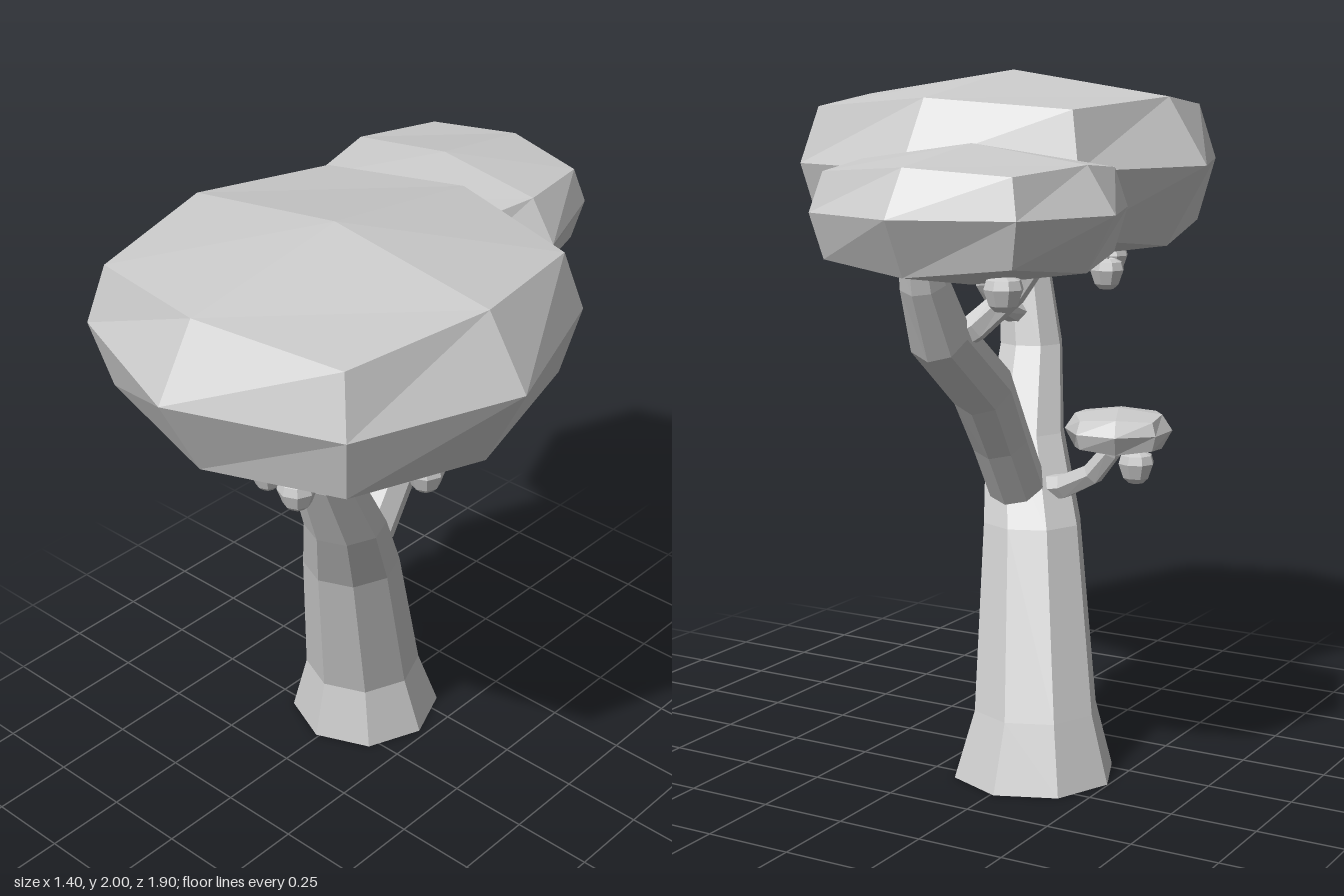
import * as THREE from 'three';

const material = new THREE.MeshStandardMaterial({ color: 0xcccccc, flatShading: true });

function part(name, geometry, parent) {
  const mesh = new THREE.Mesh(geometry, material);
  mesh.name = name;
  parent.add(mesh);
  return mesh;
}

// Faceted limb through [x, y, z, radius] points, capped at both ends.
// "level" keeps the rings horizontal; "ref" sets where the first side starts.
function limb(points, sides, { level = false, ref = new THREE.Vector3(1, 0, 0) } = {}) {
  const centers = points.map(p => new THREE.Vector3(p[0], p[1], p[2]));
  const last = points.length - 1;
  const rings = points.map((p, i) => [i, p[3]]);
  rings.unshift([0, 0]);
  rings.push([last, 0]);
  const positions = [], index = [];
  rings.forEach(([i, r], k) => {
    const t = level ? new THREE.Vector3(0, 1, 0)
      : centers[Math.min(i + 1, last)].clone().sub(centers[Math.max(i - 1, 0)]).normalize();
    const u = ref.clone().addScaledVector(t, -t.dot(ref)).normalize();
    const v = t.clone().cross(u);
    for (let j = 0; j < sides; j++) {
      const a = (j / sides) * Math.PI * 2;
      const p = centers[i].clone().addScaledVector(u, r * Math.cos(a)).addScaledVector(v, r * Math.sin(a));
      positions.push(p.x, p.y, p.z);
      if (k === 0) continue;
      const n = (j + 1) % sides, lo = (k - 1) * sides, hi = k * sides;
      index.push(lo + j, lo + n, hi + j, lo + n, hi + n, hi + j);
    }
  });
  const g = new THREE.BufferGeometry();
  g.setAttribute('position', new THREE.Float32BufferAttribute(positions, 3));
  g.setIndex(index);
  g.computeVertexNormals();
  return g;
}

// Flattened leaf cushion: a 2x2x2 divided box with its rings pulled round.
function canopyGeometry() {
  const g = new THREE.BoxGeometry(2, 2, 2, 2, 2, 2);
  const pos = g.attributes.position;
  for (let i = 0; i < pos.count; i++) {
    const x = Math.round(pos.getX(i)), y = Math.round(pos.getY(i)), z = Math.round(pos.getZ(i));
    const across = Math.abs(x) + Math.abs(z); // 0 pole, 1 side middle, 2 corner
    const spread = y === 0 ? [0, 0.635, 0.46][across] : [0, 0.513, 0.42][across];
    const height = y > 0 ? [0.27, 0.195, 0.165][across] : y < 0 ? [-0.31, -0.235, -0.19][across] : 0;
    pos.setXYZ(i, x * spread, height, z * spread);
  }
  g.computeVertexNormals();
  return g;
}

export function createModel() {
  const tree = new THREE.Group();
  tree.name = 'tree';

  // Trunk with flared foot, leaning up to the main canopy
  part('trunk', limb([
    [-0.26, 0, -0.135, 0.237], [-0.255, 0.19, -0.118, 0.182], [-0.16, 0.7, 0.03, 0.147],
    [-0.065, 0.94, 0.155, 0.121], [-0.012, 1.185, 0.29, 0.097], [0.03, 1.42, 0.32, 0.08],
    [0.035, 1.5, 0.325, 0.075],
  ], 8, { level: true }), tree);

  // Branches
  part('rearBranch', limb([
    [-0.13, 0.81, -0.01, 0.085], [-0.135, 0.965, -0.115, 0.085], [-0.15, 1.13, -0.245, 0.09],
    [-0.18, 1.31, -0.525, 0.085], [-0.19, 1.46, -0.615, 0.066], [-0.195, 1.54, -0.64, 0.06],
  ], 8), tree);
  const front = { ref: new THREE.Vector3(0, 0, 1) };
  part('rearTwig', limb([
    [-0.17, 1.28, -0.48, 0.042], [-0.25, 1.33, -0.455, 0.04], [-0.34, 1.42, -0.41, 0.036],
    [-0.41, 1.53, -0.38, 0.032],
  ], 6, front), tree);
  part('lowBranch', limb([
    [-0.14, 0.79, 0.05, 0.042], [-0.26, 0.81, 0.04, 0.038], [-0.36, 0.86, 0.025, 0.034],
    [-0.42, 0.93, 0.015, 0.03], [-0.44, 0.99, 0.01, 0.028],
  ], 6, front), tree);
  part('upperTwig', limb([
    [0.0, 1.27, 0.26, 0.04], [0.03, 1.31, 0.17, 0.036], [0.055, 1.38, 0.12, 0.03], [0.06, 1.5, 0.1, 0.027],
  ], 6), tree);

  // Canopies: name, position, horizontal scale, vertical scale, turn
  const leaf = canopyGeometry();
  [
    ['mainCanopy', [0.065, 1.73, 0.312], 1, 1, 0],
    ['rearCanopy', [-0.285, 1.648, -0.533], 0.655, 0.63, 0],
    ['lowCanopy', [-0.447, 1.0, 0.01], 0.24, 0.228, Math.PI / 8],
  ].forEach(([name, at, wide, tall, turn]) => {
    const mesh = part(name, leaf, tree);
    mesh.position.set(...at);
    mesh.scale.set(wide, tall, wide);
    mesh.rotation.y = turn;
  });

  // Hanging fruit
  const profile = [[0, -0.036], [0.022, -0.045], [0.038, -0.03], [0.053, 0.012], [0.046, 0.036], [0.024, 0.046], [0, 0.034]];
  const fruitGeometry = new THREE.LatheGeometry(profile.map(p => new THREE.Vector2(...p)), 8);
  const stemGeometry = new THREE.CylinderGeometry(0.008, 0.006, 0.08, 5).translate(0, 0.07, 0);
  [
    [0.41, 1.4, 0.35], [0.225, 1.405, 0.64], [-0.115, 1.415, 0.62], [-0.24, 1.4, 0.34],
    [-0.115, 1.435, 0], [-0.43, 1.445, -0.62], [-0.09, 1.445, -0.41], [-0.48, 0.885, 0.06],
  ].forEach(at => {
    const fruit = new THREE.Group();
    fruit.name = 'fruit';
    part('fruitBody', fruitGeometry, fruit);
    part('fruitStem', stemGeometry, fruit);
    fruit.position.set(...at);
    tree.add(fruit);
  });

  return tree;
}
